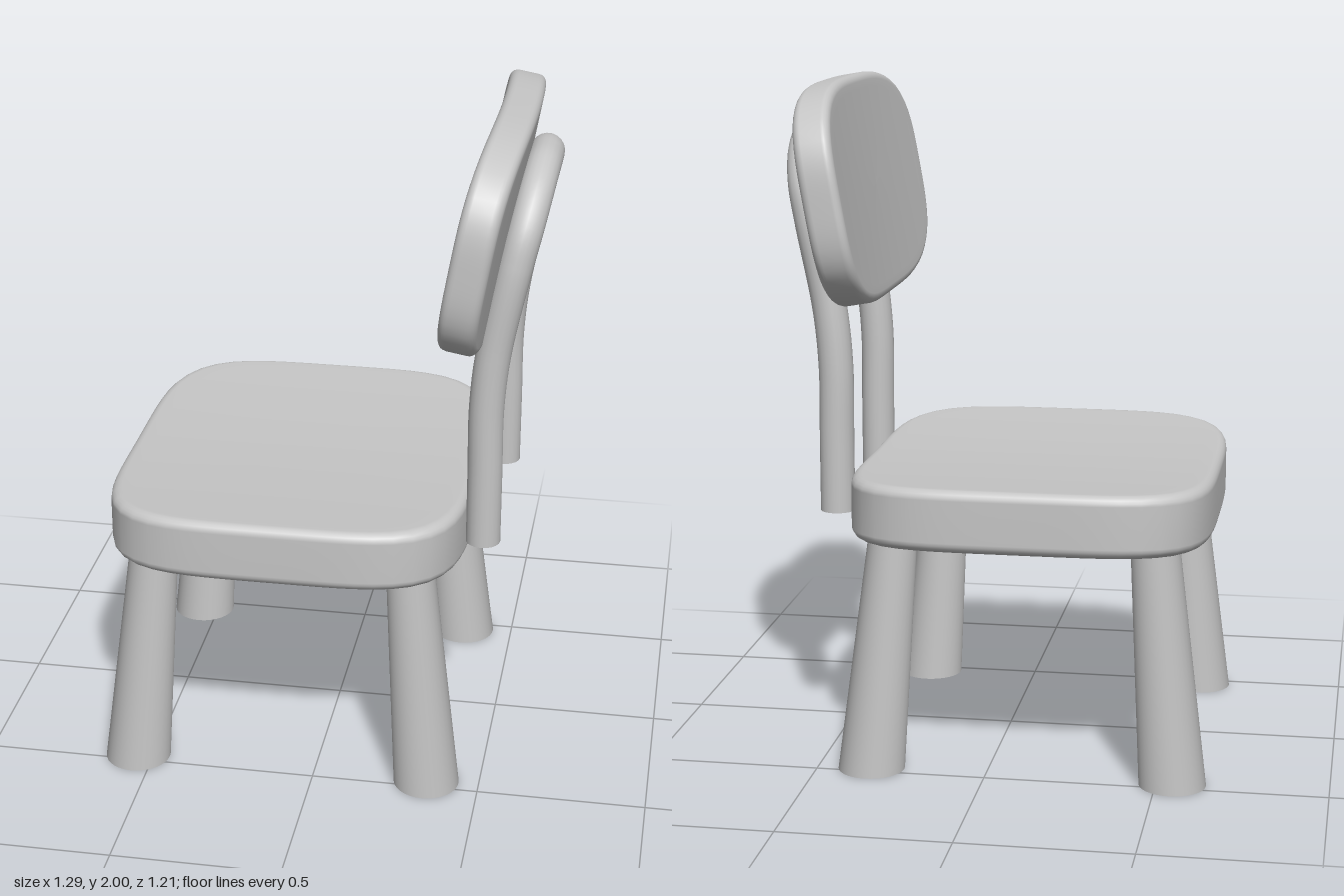
import * as THREE from 'three';

const grey = new THREE.MeshStandardMaterial({ color: 0xc6c6c6 });
grey.name = 'plain grey';

// Rounded-square slab: stacked superellipse rings from bottom centre to top centre.
// place(u, v, w) maps the slab's own axes to the model.
function slab(a, b, n, half, round, place) {
  const N = 72;
  const edge = [];
  for (let i = 0; i <= 5; i++) {
    const t = (i / 5) * Math.PI / 2;
    edge.push([1, round * (1 - Math.sin(t)), -half + round * (1 - Math.cos(t))]);
  }
  const inner = [0, 0.25, 0.5, 0.75, 0.93].map(s => [s, round, -half]);
  const lower = [...inner, ...edge];
  const upper = lower.map(([s, d, w]) => [s, d, -w]).reverse();
  const rings = [...lower, ...upper];
  const pos = [], idx = [];
  rings.forEach(([s, inset, w], i) => {
    for (let j = 0; j < N; j++) {
      const t = (j / N) * Math.PI * 2, c = Math.cos(t), q = Math.sin(t);
      const r = s / Math.pow(Math.abs(c) ** n + Math.abs(q) ** n, 1 / n);
      pos.push(...place((a - inset) * r * c, (b - inset) * r * q, w));
      if (i < rings.length - 1) {
        const k = (j + 1) % N, o = i * N, p = o + N;
        idx.push(o + j, o + k, p + k, o + j, p + k, p + j);
      }
    }
  });
  const g = new THREE.BufferGeometry();
  g.setAttribute('position', new THREE.Float32BufferAttribute(pos, 3));
  g.setIndex(idx);
  g.computeVertexNormals();
  return g;
}

export function createModel() {
  const model = new THREE.Group();
  model.name = 'chair';
  const add = (name, geometry) => {
    const mesh = new THREE.Mesh(geometry, grey);
    mesh.name = name;
    model.add(mesh);
    return mesh;
  };

  // Seat, dished slightly across its width
  add('seat', slab(0.605, 0.535, 4.3, 0.092, 0.03,
    (u, v, w) => [-0.105 + v, 0.769 + w + 0.022 * (u / 0.6) ** 2, u]));

  // Backrest, leaning back and curved around the sitter
  const tilt = 0.175, ct = Math.cos(tilt), st = Math.sin(tilt);
  add('backrest', slab(0.577, 0.33, 3.3, 0.055, 0.025, (u, v, w) => {
    const d = w + 0.025 * (u / 0.577) ** 2;
    return [0.465 + v * st - d * ct, 1.667 + v * ct + d * st, u];
  }));

  // Bent tube carrying the backrest
  const half = [
    [0.475, 0.735, 0.285], [0.475, 0.95, 0.285], [0.475, 1.17, 0.285], [0.491, 1.34, 0.283],
    [0.543, 1.6, 0.276], [0.566, 1.7, 0.25], [0.583, 1.78, 0.18], [0.592, 1.823, 0.08],
  ];
  const points = [...half, [0.594, 1.83, 0], ...half.map(([x, y, z]) => [x, y, -z]).reverse()]
    .map(p => new THREE.Vector3(...p));
  add('backTube', new THREE.TubeGeometry(new THREE.CatmullRomCurve3(points), 120, 0.051, 20));

  for (const side of [-1, 1]) {
    const end = add('tubeEnd', new THREE.CircleGeometry(0.051, 20));
    end.rotation.x = Math.PI / 2;
    end.position.set(0.475, 0.735, side * 0.285);

    // Tapered legs, sheared so they splay while the feet stay flat
    for (const [name, foot, top] of [['frontLeg', -0.548, -0.483], ['rearLeg', 0.342, 0.276]]) {
      const leg = new THREE.CylinderGeometry(0.07, 0.098, 0.74, 32);
      leg.translate(0, 0.37, 0);
      const p = leg.attributes.position;
      for (let i = 0; i < p.count; i++) {
        const t = p.getY(i) / 0.74;
        p.setX(i, p.getX(i) + foot + (top - foot) * t);
        p.setZ(i, p.getZ(i) + side * (0.465 - 0.043 * t));
      }
      add(name, leg);
    }
  }
  return model;
}
